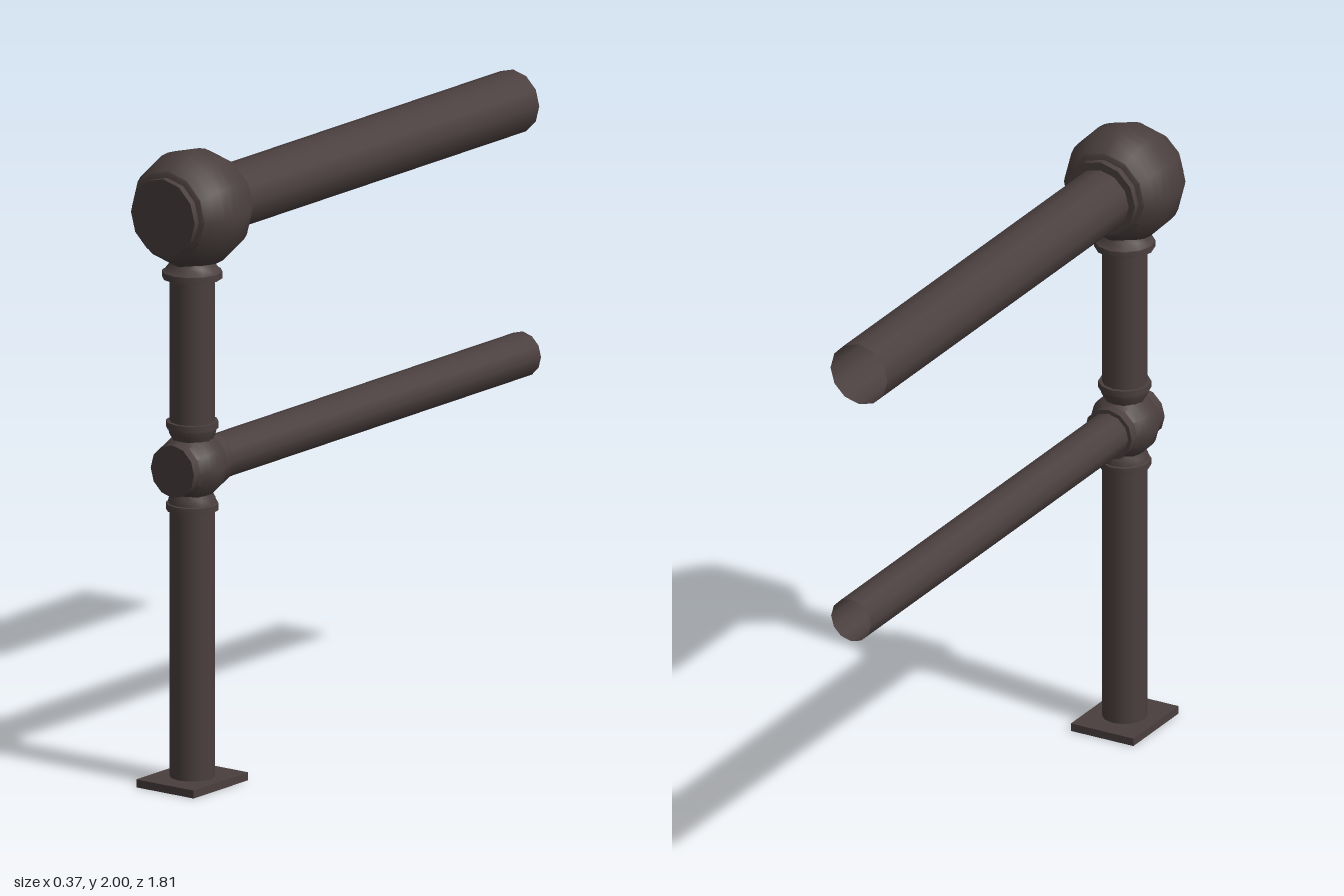
import * as THREE from 'three';
import { toCreasedNormals } from 'three/addons/utils/BufferGeometryUtils.js';

const SIDES = 12;
const POST_Z = 0.758;

export function createModel() {
  const group = new THREE.Group();
  const iron = new THREE.MeshStandardMaterial({ color: 0x4a3f3e, side: THREE.DoubleSide });
  iron.name = 'dark iron';

  const add = (name, geometry, x, y, z) => {
    const mesh = new THREE.Mesh(geometry, iron);
    mesh.name = name;
    mesh.position.set(x, y, z);
    group.add(mesh);
    return mesh;
  };

  // Turned solid: profile is [radius, height] from bottom to top
  const turned = (profile) => toCreasedNormals(
    new THREE.LatheGeometry(profile.map(([r, h]) => new THREE.Vector2(r, h)), SIDES), 0.65);

  // Base plate and post sections
  add('basePlate', new THREE.BoxGeometry(0.22, 0.025, 0.274), 0, 0.0125, POST_Z);
  const post = (name, y0, y1) =>
    add(name, new THREE.CylinderGeometry(0.07, 0.07, y1 - y0, SIDES, 1, true), 0, (y0 + y1) / 2, POST_Z);
  post('lowerPost', 0.02, 0.88);
  post('upperPost', 1.13, 1.61);

  // Ball joint with flat-ended sockets, lying along z
  const ball = (name, y, radius, half, socket, collar) => {
    const right = [0, 0.18, 0.35, 0.5, 0.64].map((t) => [radius * Math.sqrt(1 - t * t), radius * t])
      .filter(([, h]) => h < collar);
    right.push([Math.max(socket, Math.sqrt(radius * radius - collar * collar)), collar],
      [socket, collar + 0.004], [socket, half], [0, half]);
    const left = right.slice(1).reverse().map(([r, h]) => [r, -h]);
    add(name, turned([...left, ...right]).rotateX(Math.PI / 2), 0, y, POST_Z);
  };
  ball('topBall', 1.815, 0.185, 0.148, 0.122, 0.122);
  ball('middleBall', 1.005, 0.108, 0.1, 0.083, 0.069);

  // Flared neck ending in a ring; measured from the ring's outer face
  const neck = (name, y, ring, waist, length, up) => {
    const profile = [[0.05, 0], [ring, 0], [ring, 0.021], [ring - 0.006, 0.023],
      [waist + 0.008, 0.042], [waist, 0.056], [waist, length]];
    const shape = up ? profile : profile.map(([r, h]) => [r, -h]).reverse();
    add(name, turned(shape), 0, y, POST_Z);
  };
  neck('topNeck', 1.597, 0.093, 0.064, 0.13, true);
  neck('middleNeckLower', 0.866, 0.081, 0.063, 0.09, true);
  neck('middleNeckUpper', 1.146, 0.081, 0.063, 0.09, false);

  // Hollow rails running back from the balls
  const rail = (name, y, radius, z0, z1) => {
    const tube = new THREE.CylinderGeometry(radius, radius, z0 - z1, SIDES, 1, true).rotateX(Math.PI / 2);
    add(name, tube, 0, y, (z0 + z1) / 2);
  };
  rail('topRail', 1.811, 0.1, 0.62, -0.855);
  rail('middleRail', 1.005, 0.07, 0.67, -0.903);

  return group;
}
